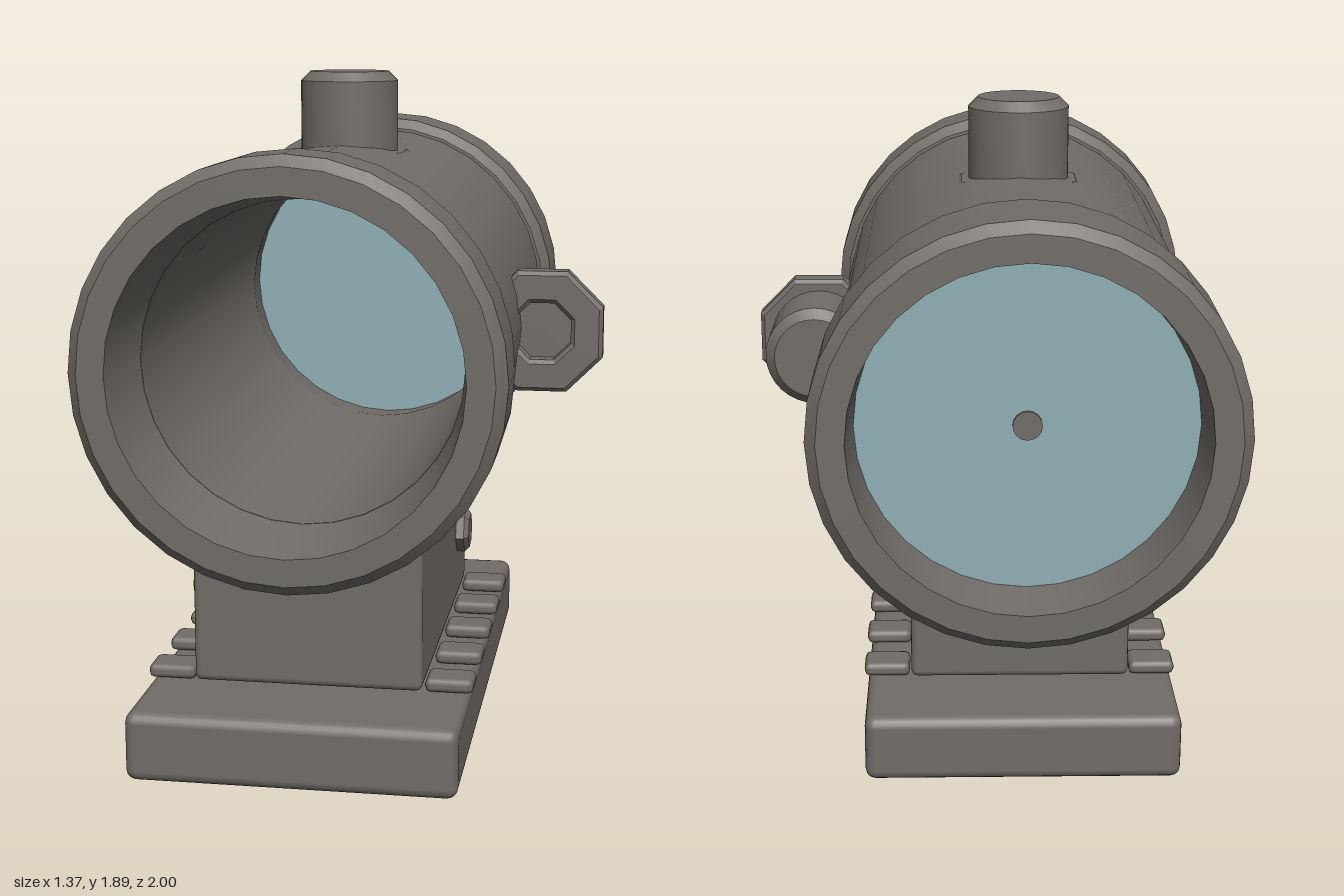
import * as THREE from 'three';
import { toCreasedNormals } from 'three/addons/utils/BufferGeometryUtils.js';
import { RoundedBoxGeometry } from 'three/addons/geometries/RoundedBoxGeometry.js';

const CX = -0.105; // sight axis
const CY = 1.135;

export function createModel() {
  const model = new THREE.Group();
  model.name = 'opticalSight';

  const metal = new THREE.MeshStandardMaterial({ color: 0x716d68 });
  metal.name = 'gunmetal grey';
  const glass = new THREE.MeshStandardMaterial({ color: 0x8fafb5 });
  glass.name = 'pale blue glass';

  const add = (name, geometry, material, x, y, z, parent = model) => {
    const mesh = new THREE.Mesh(geometry, material);
    mesh.name = name;
    mesh.position.set(x, y, z);
    parent.add(mesh);
    return mesh;
  };

  // Revolved profile of [radius, height] points, with sharp edges
  const turned = (points, sides = 32) => toCreasedNormals(
    new THREE.LatheGeometry(points.map(([r, h]) => new THREE.Vector2(r, h)), sides), 0.5);

  // Polygon outline for plates and recesses
  const polygon = (apothem, sides, target) => {
    const r = apothem / Math.cos(Math.PI / sides);
    for (let i = 0; i < sides; i++) {
      const a = ((i + 0.5) / sides) * Math.PI * 2;
      target[i ? 'lineTo' : 'moveTo'](r * Math.cos(a), r * Math.sin(a));
    }
    target.closePath();
    return target;
  };

  // Main tube, hollow
  add('mainTube', turned([
    [0.445, -0.68], [0.54, -0.68], [0.54, 0.75], [0.445, 0.75], [0.445, -0.68],
  ]).rotateX(Math.PI / 2), metal, CX, CY, 0);

  // End collars with chamfered rims and a tapered bore
  const collar = (name, length, z, turn) => {
    const c = 0.03;
    const mesh = add(name, turned([
      [0.445, 0], [0.55, 0], [0.58, c], [0.58, length - c],
      [0.55, length], [0.475, length], [0.445, 0],
    ]).rotateX(Math.PI / 2), metal, CX, CY, z);
    mesh.rotation.y = turn;
  };
  collar('frontCollar', 0.26, 0.74, 0);
  collar('rearCollar', 0.325, -0.675, Math.PI);

  // Rear lens and its centre dot
  add('lens', new THREE.CylinderGeometry(0.46, 0.46, 0.008, 32).rotateX(Math.PI / 2),
    glass, CX, CY, -0.83);
  add('lensDot', new THREE.CylinderGeometry(0.04, 0.04, 0.01, 16).rotateX(Math.PI / 2),
    metal, CX, CY, -0.838);

  // Adjustment knob: octagonal recessed flange at z 0..0.08, cap reaching z 0.32
  const bevel = 0.012;
  const flangeShape = polygon(0.18 - bevel, 8, new THREE.Shape());
  flangeShape.holes.push(polygon(0.085 + bevel, 8, new THREE.Path()));
  const flangeGeometry = new THREE.ExtrudeGeometry(flangeShape, {
    depth: 0.08 - 2 * bevel, bevelEnabled: true, bevelSize: bevel,
    bevelThickness: bevel, bevelSegments: 1,
  }).translate(0, 0, bevel);
  const capGeometry = turned([
    [0, 0.06], [0.147, 0.06], [0.147, 0.292], [0.119, 0.32], [0, 0.32],
  ]).rotateX(Math.PI / 2);
  const knob = (name, x, y, z, rx, ry) => {
    const group = new THREE.Group();
    group.name = name;
    add('flange', flangeGeometry, metal, 0, 0, 0, group);
    add('cap', capGeometry, metal, 0, 0, 0, group);
    group.position.set(x, y, z);
    group.rotation.set(rx, ry, 0);
    model.add(group);
  };
  knob('topKnob', CX, 1.57, -0.045, -Math.PI / 2, 0);
  knob('sideKnob', 0.5, CY, 0.138, 0, Math.PI);

  // Mount block and base plate
  add('mountBlock', new RoundedBoxGeometry(0.65, 0.455, 1.105, 2, 0.02), metal, CX, 0.43, 0.148);
  add('basePlate', new RoundedBoxGeometry(0.915, 0.195, 1.635, 2, 0.03), metal, -0.107, 0.0975, 0.148);

  // Rail tabs along both long edges
  const tabGeometry = new RoundedBoxGeometry(0.136, 0.04, 0.112, 1, 0.016);
  for (const side of [-1, 1]) {
    for (let i = 0; i < 5; i++) {
      add('railTab', tabGeometry, metal, CX + side * 0.398, 0.214, 0.622 - i * 0.237);
    }
  }

  // Hexagonal bolts: one on the left, two on the right
  const boltGeometry = toCreasedNormals(new THREE.LatheGeometry([
    [0, -0.02], [0.07, -0.02], [0.07, 0.025], [0.055, 0.04], [0, 0.04],
  ].map(([r, h]) => new THREE.Vector2(r, h)), 6), 0.3).rotateY(0.17).rotateZ(-Math.PI / 2);
  for (const [side, z] of [[1, -0.185], [-1, -0.185], [-1, 0.485]]) {
    const bolt = add('mountBolt', boltGeometry, metal, CX + side * 0.325, 0.43, z);
    bolt.rotation.y = side > 0 ? 0 : Math.PI;
  }

  return model;
}
